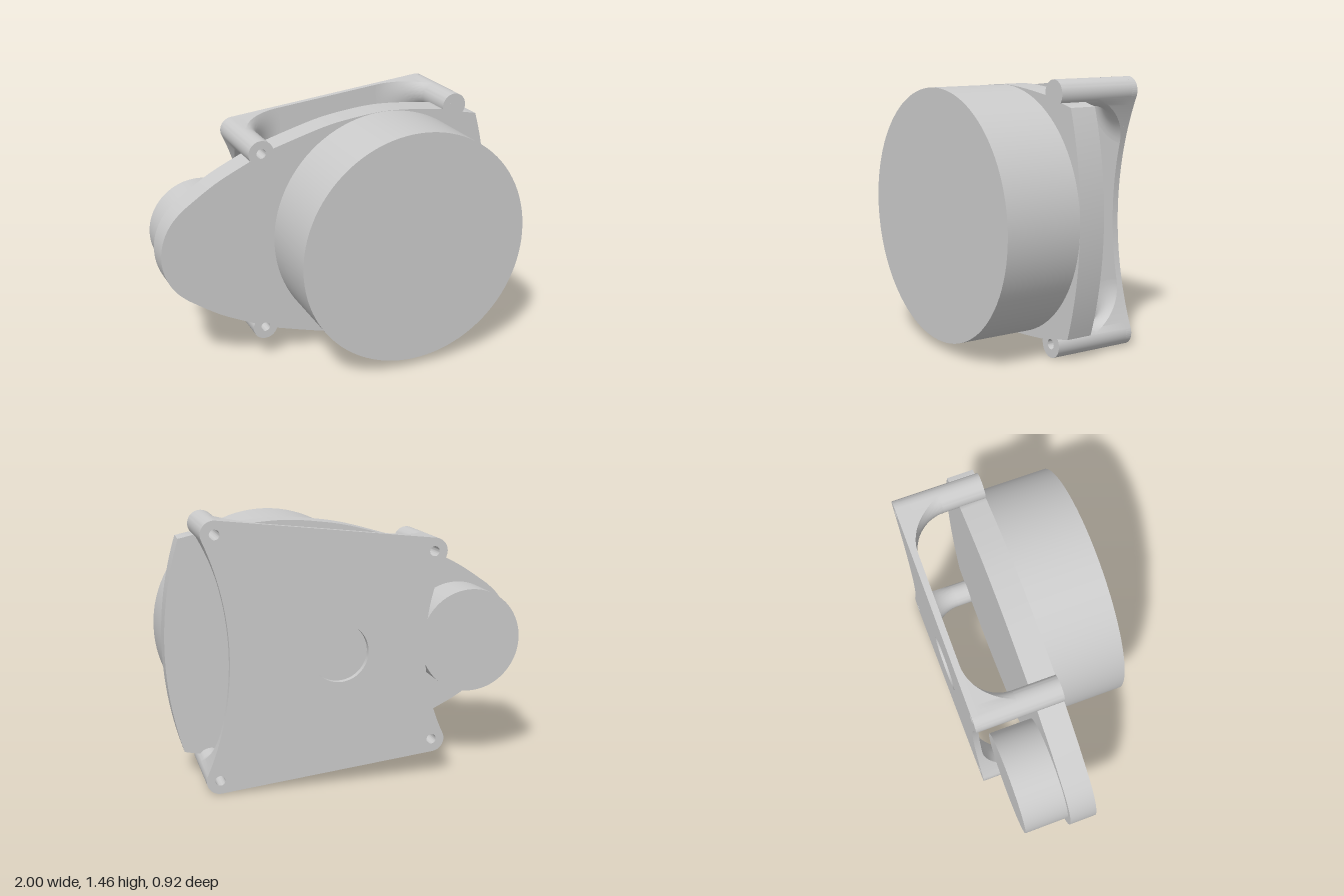
import * as THREE from 'three';
import { toCreasedNormals } from 'three/addons/utils/BufferGeometryUtils.js';

const PI = Math.PI;
const MID_Y = 0.7275;            // the body is symmetric about this height
const POST_R = 0.0725, HOLE_R = 0.027;
const Z_BACK = -0.455, Z_INNER = -0.42, Z_PLATE = -0.12, Z_FACE = 0.03;
const FILLET = 0.21;

// Corner posts and the concave side arc beside each pair
function makeSide(x, h, edge) {
  const sign = Math.sign(x);
  const g = Math.abs(x - edge);
  const R = (g * g + h * h - POST_R * POST_R) / (2 * (POST_R + g));
  return { x, h, sign, R, cx: edge + sign * R, delta: Math.atan2(h, R - g) };
}
const L = makeSide(-0.415, 0.525, -0.37);
const Rt = makeSide(0.765, 0.655, 0.70);
const SLOPE = Math.atan2(Rt.h - L.h, Rt.x - L.x);

const material = new THREE.MeshStandardMaterial({ color: 0xcccccc });
const doubleMaterial = new THREE.MeshStandardMaterial({ color: 0xcccccc, side: THREE.DoubleSide });

function addMesh(group, name, geometry, mat = material) {
  const mesh = new THREE.Mesh(geometry, mat);
  mesh.name = name;
  group.add(mesh);
  return mesh;
}

function extrude(shape, z0, z1, curveSegments = 24) {
  const geo = new THREE.ExtrudeGeometry(shape, { depth: z1 - z0, bevelEnabled: false, curveSegments });
  geo.translate(0, 0, z0);
  return toCreasedNormals(geo, 0.5);
}

function drum(x, y, r, z0, z1, segments = 72) {
  const geo = new THREE.CylinderGeometry(r, r, z1 - z0, segments);
  geo.rotateX(PI / 2);
  return geo.translate(x, y, (z0 + z1) / 2);
}

function circleHole(x, y, r) {
  return new THREE.Path().absarc(x, y, r, 0, PI * 2, true);
}

// Rear plate: rounded corners, straight top and bottom, concave sides
function rearPlateShape() {
  const n = PI / 2 + SLOPE;
  const s = new THREE.Shape();
  s.absarc(L.x, L.h, POST_R, n, PI + L.delta, false);
  s.absarc(L.cx, 0, L.R, L.delta, -L.delta, true);
  s.absarc(L.x, -L.h, POST_R, PI - L.delta, 2 * PI - n, false);
  s.absarc(Rt.x, -Rt.h, POST_R, -n, Rt.delta, false);
  s.absarc(Rt.cx, 0, Rt.R, PI + Rt.delta, PI - Rt.delta, true);
  s.absarc(Rt.x, Rt.h, POST_R, -Rt.delta, n, false);
  s.closePath();
  for (const p of [L, Rt]) for (const sy of [1, -1]) s.holes.push(circleHole(p.x, sy * p.h, HOLE_R));
  s.holes.push(circleHole(0.11, 0, 0.16));
  return s;
}

// Egg-shaped middle plate, dipping below the screw holes
function middlePlateShape() {
  const v = (x, y) => new THREE.Vector2(x, y);
  const top = [];
  for (let i = 1; i <= 12; i++) {
    const a = 0.305 * i / 12;
    top.push(v(-0.98 + 1.98 * Math.cos(a), 1.98 * Math.sin(a)));
  }
  top.push(v(0.83, 0.612), v(0.765, 0.595));
  const crown = [v(0.69, 0.645), v(0.5, 0.667), v(0.325, 0.676), v(0.15, 0.663), v(-0.05, 0.63), v(-0.35, 0.545)];
  top.push(...new THREE.SplineCurve(crown).getPoints(30));
  top.push(v(-0.415, 0.475));
  top.push(...new THREE.SplineCurve([v(-0.48, 0.49), v(-0.68, 0.392), v(-0.86, 0.272)]).getPoints(12));
  for (let i = 1; i < 16; i++) {
    const a = 2.18 + (PI - 2.18) * i / 16;
    top.push(v(-0.67 + 0.33 * Math.cos(a), 0.33 * Math.sin(a)));
  }
  const bottom = top.map(p => v(p.x, -p.y)).reverse();
  return new THREE.Shape([v(1, 0), ...top, v(-1, 0), ...bottom]);
}

// Flared foot of a post, trimmed to the rear plate's outline
function flareGeometry(side, sy) {
  const rings = 16, cols = 32;
  const pos = [], index = [];
  for (let k = 0; k <= rings; k++) {
    const a = PI / 2 * k / rings;
    const r = POST_R + FILLET * (1 - Math.cos(a));
    const z = Z_INNER + FILLET * (1 - Math.sin(a));
    const line = Math.asin(Math.min(1, POST_R / r));
    const D = side.R + POST_R;
    const arc = Math.acos(Math.min(1, (r * r + D * D - side.R * side.R) / (2 * r * D)));
    let t1, t2;
    if (side.sign < 0) [t1, t2] = [side.delta - PI + arc, SLOPE + line];
    else [t1, t2] = [PI + SLOPE - line, 2 * PI - side.delta - arc];
    if (sy < 0) [t1, t2] = [-t2, -t1];
    for (let j = -1; j <= cols + 1; j++) {
      const t = t1 + (t2 - t1) * Math.min(cols, Math.max(0, j)) / cols;
      const wall = j < 0 || j > cols;
      pos.push(side.x + r * Math.cos(t), sy * side.h + r * Math.sin(t), wall ? Z_INNER : z);
    }
  }
  const w = cols + 3;
  for (let k = 0; k < rings; k++) for (let j = 0; j < w - 1; j++) {
    const a = k * w + j, b = a + w;
    index.push(a, b, b + 1, a, b + 1, a + 1);
  }
  const geo = new THREE.BufferGeometry();
  geo.setAttribute('position', new THREE.Float32BufferAttribute(pos, 3));
  geo.setIndex(index);
  return toCreasedNormals(geo, 0.6);
}

export function createModel() {
  const model = new THREE.Group();
  model.name = 'pumpHousing';
  const body = new THREE.Group();
  body.name = 'body';
  body.position.y = MID_Y;
  model.add(body);

  addMesh(body, 'frontDrum', drum(0.325, 0, 0.675, Z_FACE, 0.46, 96));
  addMesh(body, 'middlePlate', extrude(middlePlateShape(), Z_PLATE, Z_FACE));
  addMesh(body, 'rearMotor', drum(-0.67, 0, 0.29, -0.365, Z_PLATE));
  addMesh(body, 'rearPlate', extrude(rearPlateShape(), Z_BACK, Z_INNER, 32));

  // Hollow corner posts with flared feet
  for (const side of [L, Rt]) for (const sy of [1, -1]) {
    const name = (sy > 0 ? 'upper' : 'lower') + (side.sign < 0 ? 'Right' : 'Left');
    const ring = new THREE.Shape().absarc(side.x, sy * side.h, POST_R, 0, PI * 2, false);
    ring.holes.push(circleHole(side.x, sy * side.h, HOLE_R));
    addMesh(body, name + 'Post', extrude(ring, Z_BACK, Z_FACE));
    addMesh(body, name + 'Flare', flareGeometry(side, sy), doubleMaterial);
  }
  // One post is closed at the front
  addMesh(body, 'postPlug', drum(Rt.x, Rt.h, HOLE_R, Z_PLATE, Z_FACE, 24));
  return model;
}
